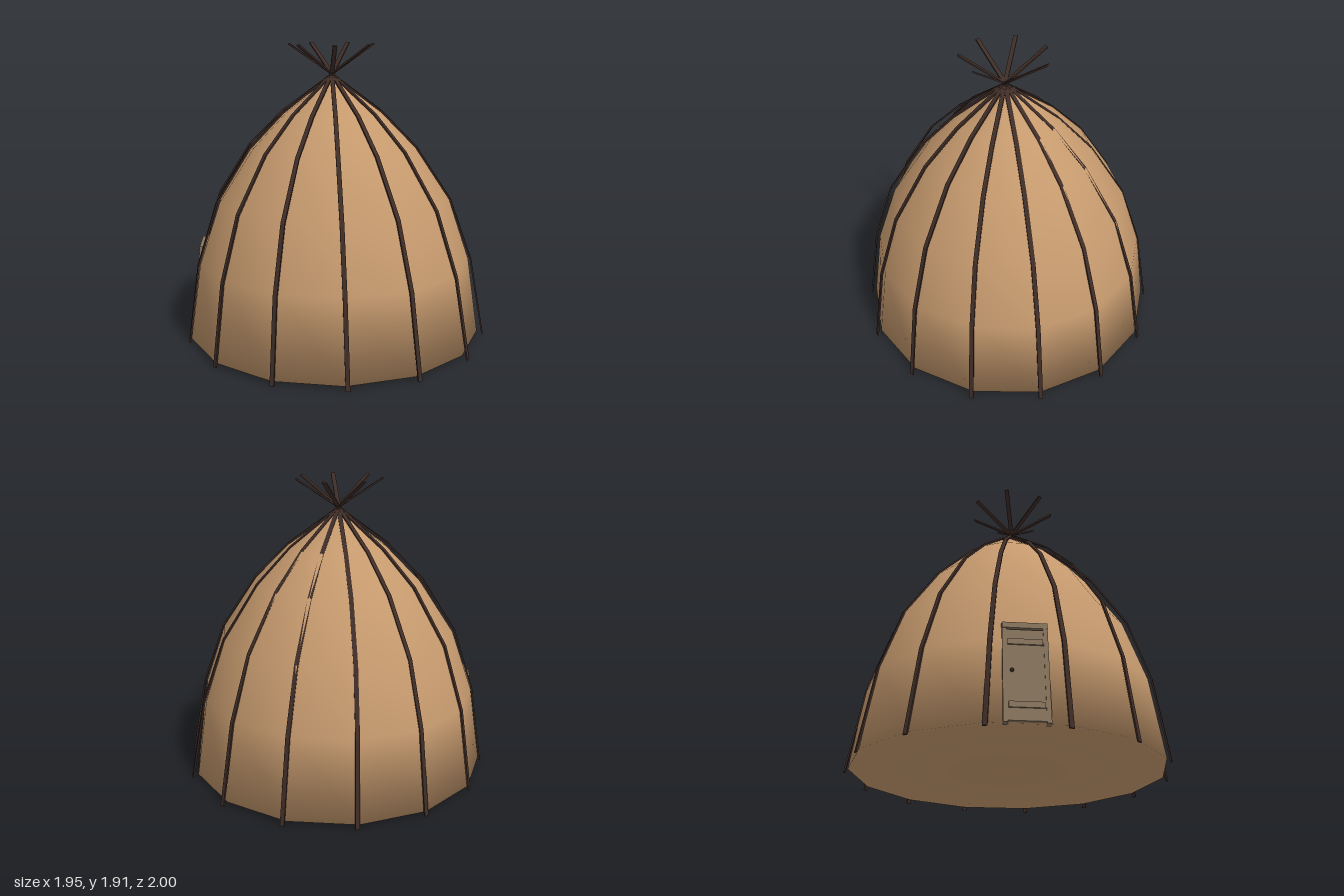
import * as THREE from 'three';

const mat = (name, color, extra = {}) => {
  const m = new THREE.MeshStandardMaterial({ color, ...extra });
  m.name = name;
  return m;
};
const SIDES = 14;

// flat strip following a radius/height path, bent over the dome
function stripGeometry(path, width, thick) {
  const pts = path.map(p => new THREE.Vector2(...p));
  const offset = d => pts.map((p, i) => {
    const t = pts[Math.min(i + 1, pts.length - 1)].clone().sub(pts[Math.max(i - 1, 0)]).normalize();
    return new THREE.Vector2(p.x + t.y * d, p.y - t.x * d);
  });
  const shape = new THREE.Shape([...offset(thick / 2), ...offset(-thick / 2).reverse()]);
  return new THREE.ExtrudeGeometry(shape, { depth: width, bevelEnabled: false }).translate(0, 0, -width / 2);
}

export function createModel() {
  const root = new THREE.Group();
  root.name = 'hut';
  const hide = mat('tan hide', 0xc69a6e);
  const wood = mat('dark pole wood', 0x3e2c26);
  const plank = mat('weathered door wood', 0x87745d);
  const trim = mat('door trim', 0x9c7a55);

  const add = (parent, name, geo, material, x = 0, y = 0, z = 0) => {
    const m = new THREE.Mesh(geo, material);
    m.name = name;
    m.position.set(x, y, z);
    parent.add(m);
    return m;
  };

  // closed dome cover with a softly shaded rim
  const profile = [[0, 0.03], [0.97, 0.03], [0.895, 0.53], [0.76, 0.925], [0.535, 1.265], [0.315, 1.488], [0, 1.715]];
  add(root, 'cover', new THREE.LatheGeometry(profile.map(p => new THREE.Vector2(...p)), SIDES), hide, -0.013, 0, -0.004);

  // bent poles; every second one runs on past the crossing point
  const polePath = [[0.993, 0.012], [0.907, 0.53], [0.77, 0.93], [0.547, 1.27], [0.325, 1.492], [0, 1.73]];
  const poles = new THREE.Group();
  poles.name = 'poles';
  root.add(poles);
  for (let k = 0; k < SIDES; k++) {
    const path = k % 2 === 0 ? [...polePath, [-0.28, 1.917]] : polePath;
    const geo = stripGeometry(path, 0.027, 0.01).rotateY(Math.PI / 2 + (k / SIDES) * Math.PI * 2);
    // the crossing point sits slightly off centre
    const p = geo.attributes.position;
    for (let i = 0; i < p.count; i++) {
      const t = Math.min(1, p.getY(i) / 1.2);
      p.setX(i, p.getX(i) - 0.025 * t);
      p.setZ(i, p.getZ(i) + 0.017 * t);
    }
    geo.computeVertexNormals();
    add(poles, 'pole', geo, wood);
  }

  // door leaning with the wall on the -x side
  const door = new THREE.Group();
  door.name = 'door';
  door.position.set(-0.959, 0.03, -0.005);
  door.rotation.z = -0.147;
  root.add(door);
  const box = (name, w, h, d, m, x, y, z) => add(door, name, new THREE.BoxGeometry(w, h, d), m, x, y, z);
  box('doorPanel', 0.03, 0.55, 0.2, plank, 0, 0.285, 0);
  for (const s of [-1, 1]) box('doorPost', 0.04, 0.57, 0.025, plank, 0, 0.285, s * 0.112);
  box('threshold', 0.04, 0.025, 0.22, plank, 0, 0.02, 0);
  for (const y of [0.1, 0.48]) box('crossPlank', 0.01, 0.035, 0.19, plank, -0.018, y, 0);
  box('lintel', 0.07, 0.035, 0.25, plank, 0.012, 0.585, 0);
  const hood = box('hood', 0.09, 0.015, 0.25, trim, 0.025, 0.615, 0);
  hood.rotation.z = 0.75;
  add(door, 'knob', new THREE.SphereGeometry(0.011, 10, 8), wood, -0.024, 0.3, -0.075);

  return root;
}
